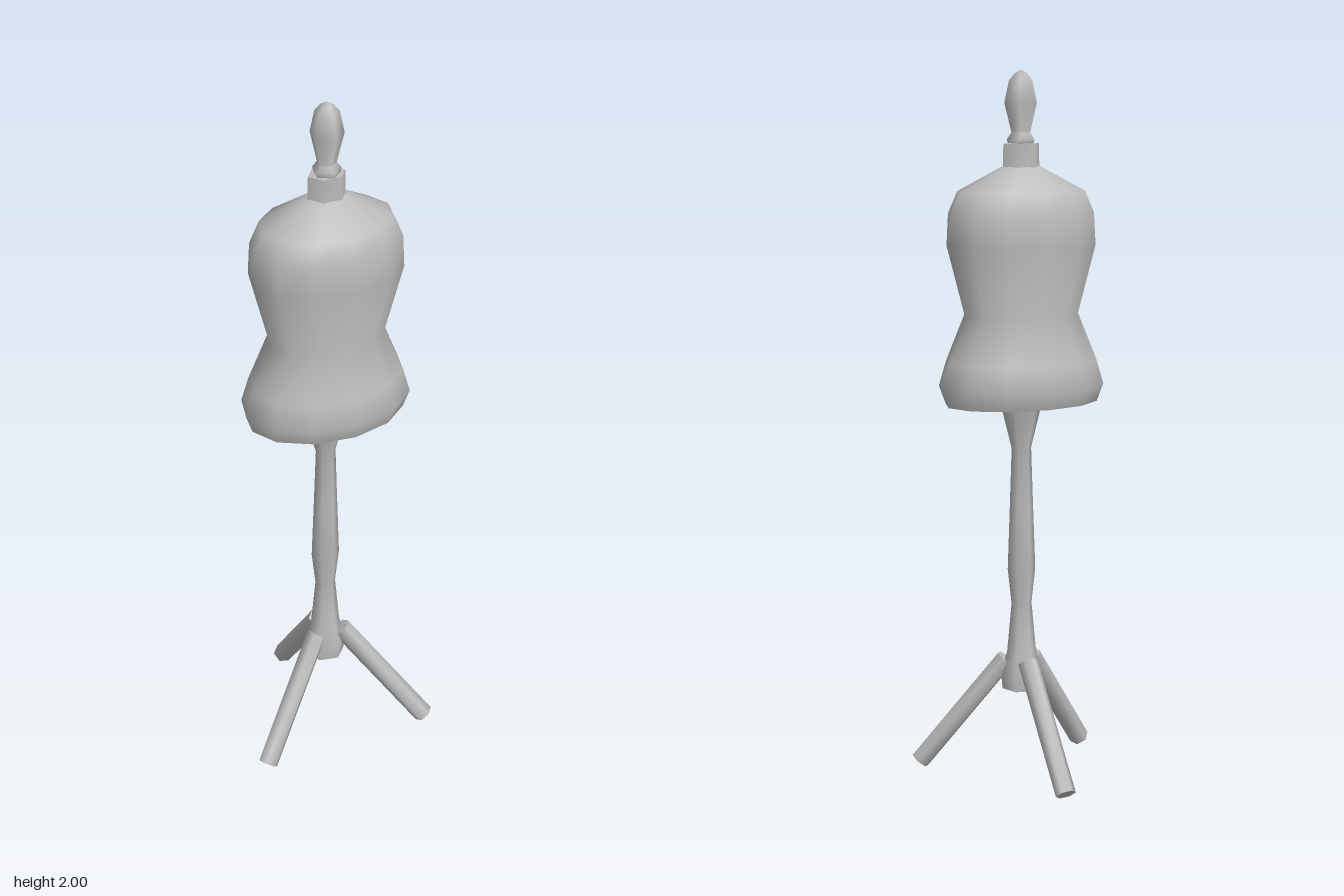
import * as THREE from 'three';
import { toCreasedNormals } from 'three/addons/utils/BufferGeometryUtils.js';

const AXIS_Z = 0.07; // the stand's axis sits slightly forward of centre

// Skin elliptical rings [y, radiusX, radiusZ], listed from bottom centre to top centre
function loft(rings, sides, phase, crease = 1.1) {
  const pos = [], index = [];
  for (const [y, rx, rz = rx] of rings) {
    for (let j = 0; j < sides; j++) {
      const a = phase + (j / sides) * Math.PI * 2;
      pos.push(Math.sin(a) * rx, y, Math.cos(a) * rz);
    }
  }
  for (let i = 0; i < rings.length - 1; i++) {
    for (let j = 0; j < sides; j++) {
      const a = i * sides + j, b = i * sides + ((j + 1) % sides);
      const c = a + sides, d = b + sides;
      if (rings[i][1] > 0) index.push(a, b, d);
      if (rings[i + 1][1] > 0) index.push(a, d, c);
    }
  }
  const geo = new THREE.BufferGeometry();
  geo.setAttribute('position', new THREE.Float32BufferAttribute(pos, 3));
  geo.setIndex(index);
  return toCreasedNormals(geo, crease);
}

export function createModel() {
  const group = new THREE.Group();
  group.name = 'dressForm';
  const grey = new THREE.MeshStandardMaterial({ color: 0xbcbcbc });
  grey.name = 'plainGrey';

  const add = (name, geo) => {
    const mesh = new THREE.Mesh(geo, grey);
    mesh.name = name;
    mesh.position.z = AXIS_Z;
    group.add(mesh);
    return mesh;
  };

  // Torso with a recessed underside
  add('torso', loft([
    [1.15, 0], [1.14, 0.13, 0.085], [1.08, 0.15, 0.1],
    [1.08, 0.225, 0.155], [1.13, 0.243, 0.175], [1.2, 0.222, 0.158],
    [1.33, 0.167, 0.12], [1.52, 0.217, 0.16], [1.61, 0.213, 0.152],
    [1.67, 0.185, 0.138], [1.735, 0.06, 0.045], [1.75, 0],
  ], 12, 0.06));

  // Neck and finial
  add('neck', loft([
    [1.7, 0], [1.7, 0.056, 0.045], [1.8, 0.053, 0.042], [1.803, 0],
  ], 6, 0.5));
  add('finial', loft([
    [1.79, 0], [1.79, 0.035], [1.812, 0.04], [1.83, 0.027],
    [1.91, 0.047], [1.97, 0.034], [1.99, 0.018], [2, 0],
  ], 5, 0.1, 1.4));

  // Turned pole, flared at both ends, with a hollow foot
  add('pole', loft([
    [0.3, 0], [0.29, 0.036], [0.25, 0.042], [0.25, 0.056],
    [0.3, 0.06], [0.36, 0.042], [0.5, 0.029], [0.6, 0.04],
    [0.8, 0.033], [0.95, 0.028], [1.08, 0.06], [1.16, 0.075], [1.16, 0],
  ], 6, 0.3));

  // Three splayed legs, one pointing straight back
  const up = new THREE.Vector3(0, 1, 0);
  ['backLeg', 'leftLeg', 'rightLeg'].forEach((name, i) => {
    const a = Math.PI - i * Math.PI * 2 / 3;
    const at = (r, y) => new THREE.Vector3(Math.sin(a) * r, y, Math.cos(a) * r);
    const top = at(0.045, 0.335), foot = at(0.295, 0.022);
    const axis = top.clone().sub(foot);
    const len = axis.length();
    const leg = add(name, loft([
      [0, 0], [0, 0.029], [len, 0.029], [len, 0],
    ], 6, 0.3));
    leg.position.add(foot);
    leg.quaternion.setFromUnitVectors(up, axis.normalize());
  });

  return group;
}
